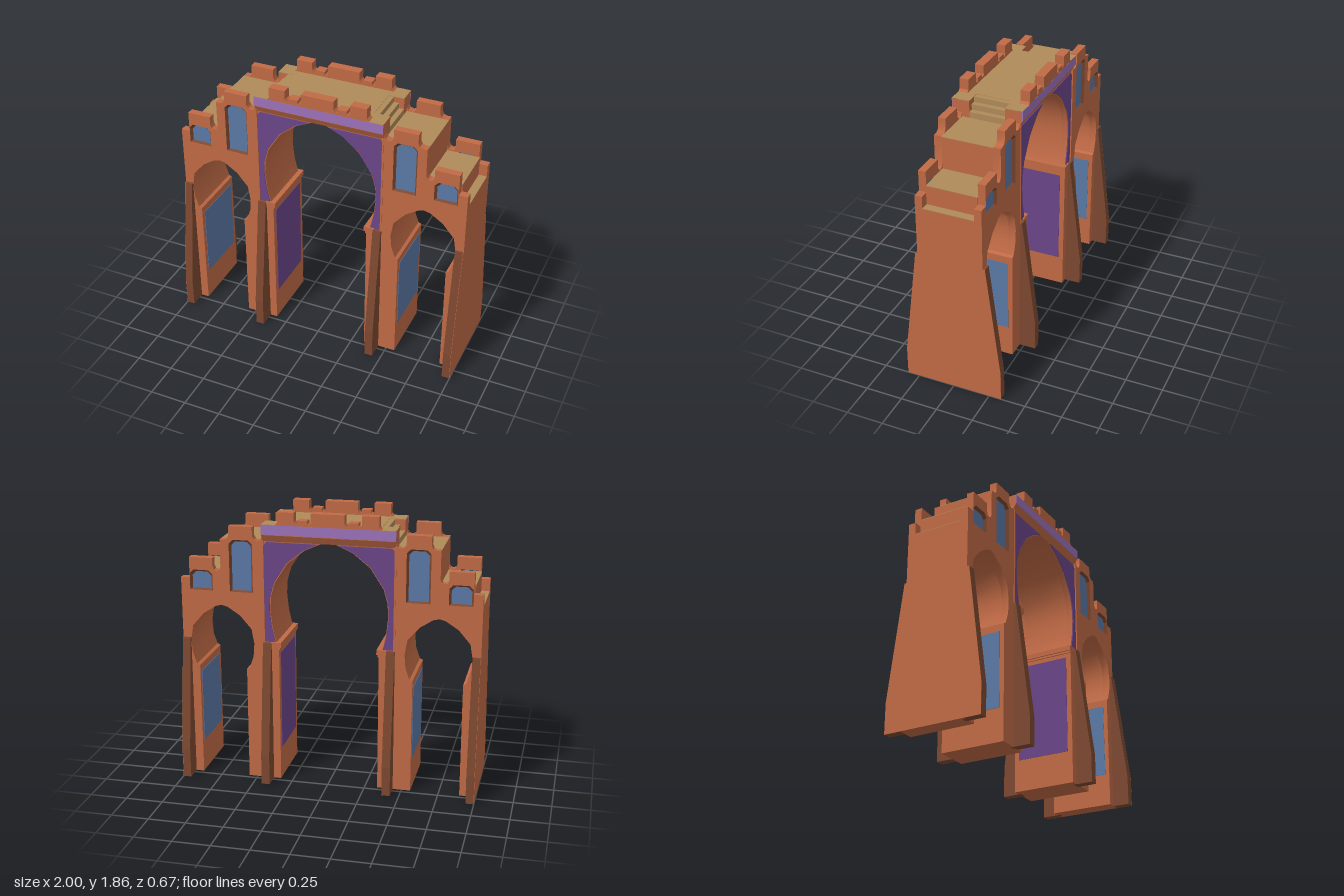
import * as THREE from 'three';
import { toCreasedNormals } from 'three/addons/utils/BufferGeometryUtils.js';

const mat = (name, color) => {
  const m = new THREE.MeshStandardMaterial({ color });
  m.name = name;
  return m;
};

export function createModel() {
  const clay = mat('terracotta', 0xc06a45);
  const brown = mat('brown', 0x7c4830);
  const tan = mat('sandstone', 0xb08a58);
  const blue = mat('blue', 0x5b78a5);
  const purple = mat('purple', 0x6a4588);
  const lilac = mat('lilac', 0x9c72ba);

  const model = new THREE.Group();
  model.name = 'archGate';

  const add = (parent, name, geo, material) => {
    const m = new THREE.Mesh(geo, material);
    m.name = name;
    parent.add(m);
    return m;
  };
  const flip = (pts, s) => pts.map(([x, y]) => new THREE.Vector2(x * s, y));
  // Outline in x/y, extruded from z0 to z1; s = -1 mirrors it
  const slab = (parent, name, pts, z0, z1, material, s = 1, holes = []) => {
    const shape = new THREE.Shape(flip(pts, s));
    holes.forEach(h => shape.holes.push(new THREE.Path(flip(h, s))));
    const geo = new THREE.ExtrudeGeometry(shape, { depth: z1 - z0, bevelEnabled: false });
    geo.translate(0, 0, z0);
    return add(parent, name, toCreasedNormals(geo, 0.6), material);
  };
  // Outline in z/y, extruded from x0 to x1
  const beam = (parent, name, pts, x0, x1, material) => {
    const geo = new THREE.ExtrudeGeometry(new THREE.Shape(flip(pts, -1)), { depth: x1 - x0, bevelEnabled: false });
    geo.rotateY(Math.PI / 2).translate(x0, 0, 0);
    return add(parent, name, geo, material);
  };
  // Box given by its limits; s mirrors x
  const box = (parent, name, [x0, x1], [y0, y1], [z0, z1], material, s = 1) => {
    const geo = new THREE.BoxGeometry(x1 - x0, y1 - y0, z1 - z0);
    geo.translate(s * (x0 + x1) / 2, (y0 + y1) / 2, (z0 + z1) / 2);
    return add(parent, name, geo, material);
  };

  const IN = 0.17, WALL = 0.22, MID = 0.21, LIP = 0.237;

  // Side arch, from its outer foot over the top to its inner foot
  const halfSide = [[0.165, 0], [0.165, 0.78], [0.185, 0.79], [0.213, 0.87], [0.22, 0.96],
    [0.203, 1.06], [0.125, 1.15], [0.04, 1.205]];
  const sideArch = [...halfSide.map(([x, y]) => [0.725 + x, y]), [0.725, 1.215],
    ...halfSide.map(([x, y]) => [0.725 - x, y]).reverse()];

  // Wide middle arch
  const halfMid = [[0.345, 0.96], [0.362, 1.0], [0.381, 1.09], [0.392, 1.2], [0.387, 1.29], [0.36, 1.385],
    [0.272, 1.52], [0.16, 1.61], [0.04, 1.665]];
  const midArch = [...halfMid, [0, 1.672], ...halfMid.map(([x, y]) => [-x, y]).reverse()];

  // Stepped battlement and plain stepped core of a wing
  const wingFace = [[0.44, 0], [0.44, 1.69], [0.45, 1.668], [0.472, 1.66], [0.492, 1.668], [0.505, 1.69],
    [0.505, 1.75], [0.665, 1.75], [0.665, 1.69], [0.675, 1.668], [0.695, 1.66], [0.725, 1.66],
    [0.725, 1.475], [0.735, 1.452], [0.752, 1.445], [0.77, 1.452], [0.78, 1.475], [0.78, 1.53],
    [0.94, 1.53], [0.94, 1.39], [1, 1.39], [1, 0], ...sideArch];
  const wingCore = [[0.44, 0], [0.44, 1.656], [0.725, 1.656], [0.725, 1.436], [0.945, 1.436],
    [0.945, 1.306], [1, 1.306], [1, 0], ...sideArch];

  // Window outline with cut upper corners, inset by d
  const windowPts = ([x0, x1, y0, y1], d) => {
    const c = 0.026;
    return [[x0 + d, y0 + d * 0.6], [x1 - d, y0 + d * 0.6], [x1 - d, y1 - d - c],
      [x1 - d - c, y1 - d], [x0 + d + c, y1 - d], [x0 + d, y1 - d - c]];
  };
  const windows = [[0.507, 0.664, 1.31, 1.66], [0.782, 0.938, 1.31, 1.445]];

  const addWindow = (parent, limits, s) => {
    const outer = flip(windowPts(limits, 0), s), inner = flip(windowPts(limits, 0.014), s);
    if (s < 0) { outer.reverse(); inner.reverse(); }
    const pos = [];
    outer.forEach((a, i) => {
      const j = (i + 1) % outer.length, b = outer[j], c = inner[j], d = inner[i];
      for (const [p, z] of [[a, WALL], [b, WALL], [c, WALL - 0.02], [a, WALL], [c, WALL - 0.02], [d, WALL - 0.02]]) {
        pos.push(p.x, p.y, z);
      }
    });
    const geo = new THREE.BufferGeometry();
    geo.setAttribute('position', new THREE.Float32BufferAttribute(pos, 3));
    geo.computeVertexNormals();
    add(parent, 'windowFrame', geo, brown);
    slab(parent, 'windowPane', windowPts(limits, 0.01), WALL - 0.026, WALL - 0.019, blue, s);
  };

  // Front and back facades share one design
  const buttress = [[0.2, 0], [0.333, 0], [0.333, 0.2], [0.235, 0.975], [0.2, 0.975]];
  for (const turn of [0, Math.PI]) {
    const f = new THREE.Group();
    f.name = turn ? 'backFacade' : 'frontFacade';
    f.rotation.y = turn;
    model.add(f);

    for (const s of [1, -1]) {
      slab(f, 'wingWall', wingFace, IN, WALL, clay, s, windows.map(w => windowPts(w, 0)));
      windows.forEach(w => addWindow(f, w, s));
      for (const [x0, x1] of [[0.385, 0.441], [0.945, 0.998]]) {
        beam(f, 'buttress', buttress, s > 0 ? x0 : -x1, s > 0 ? x1 : -x0, brown);
      }
      beam(f, 'endFace', buttress, s > 0 ? 0.998 : -1, s > 0 ? 1 : -0.998, clay);

      // Purple spandrel beside the middle arch, with a raised edge
      const curve = halfMid.slice(1).map(([x, y]) => [x + 0.005, y + 0.003]).filter(p => p[1] < 1.65);
      slab(f, 'spandrel', [[0.43, 0.98], [0.43, 1.635], [0.41, 1.656], [0.07, 1.656], ...curve.reverse(), [0.36, 0.98]],
        MID, MID + 0.006, purple, s);
      box(f, 'spandrelEdge', [0.43, 0.442], [0.975, 1.67], [MID - 0.02, WALL + 0.004], clay, s);
    }

    // Middle wall, cornice and coloured band
    slab(f, 'middleWall', [[0.44, 0.96], [0.44, 1.77], [-0.44, 1.77], [-0.44, 0.96], ...midArch.slice().reverse()],
      IN, MID, clay);
    beam(f, 'cornice', [[0.2, 1.675], [MID, 1.66], [LIP - 0.003, 1.705], [LIP - 0.003, 1.775], [0.2, 1.775]], -0.44, 0.44, clay);
    box(f, 'corniceBand', [-0.441, 0.441], [1.71, 1.774], [LIP - 0.004, LIP + 0.001], lilac);

    // Middle battlement
    const half = [[0.11, 1.86], [0.11, 1.8], [0.122, 1.785], [0.133, 1.79], [0.135, 1.812], [0.198, 1.812],
      [0.198, 1.79], [0.208, 1.785], [0.222, 1.8], [0.222, 1.86], [0.332, 1.86], [0.332, 1.79], [0.348, 1.774]];
    slab(f, 'battlement', [...half.map(([x, y]) => [-x, y]).reverse(), ...half], 0.175, LIP, clay);
  }

  // Core of the middle block
  slab(model, 'middleCore', [[0.44, 0.96], [0.44, 1.656], [0.335, 1.656], [0.335, 1.771], [-0.335, 1.771],
    [-0.335, 1.656], [-0.44, 1.656], [-0.44, 0.96], ...midArch.slice().reverse()], -IN, IN, clay);
  box(model, 'middleRoof', [-0.335, 0.335], [1.771, 1.776], [-0.19, 0.19], tan);

  for (const s of [1, -1]) {
    slab(model, 'wingCore', wingCore, -IN, IN, clay, s);
    for (const [x0, x1, y] of [[0.44, 0.725, 1.66], [0.725, 0.945, 1.44], [0.945, 1, 1.31]]) {
      box(model, 'wingRoof', [x0, x1], [y - 0.005, y], [-IN, IN], tan, s);
    }
    // Inner pier with its capital
    box(model, 'pier', [0.335, 0.44], [0, 0.97], [-WALL, WALL], clay, s);
    box(model, 'capital', [0.32, 0.39], [0.945, 0.98], [-WALL - 0.006, WALL + 0.006], clay, s);
    box(model, 'capitalStep', [0.328, 0.386], [0.93, 0.945], [-WALL - 0.003, WALL + 0.003], clay, s);

    // Steps from the wing roof up to the middle roof
    [1.773, 1.737, 1.7].forEach((y, i) => {
      const x = 0.335 + i * 0.035;
      box(model, 'roofStep', [x, x + 0.035], [1.65, y], [-0.12, 0.12], tan, s);
    });
    for (const z of [-1, 1]) {
      const cheek = z > 0 ? [0.12, IN] : [-IN, -0.12];
      const cap = z > 0 ? [0.12, LIP] : [-LIP, -0.12];
      box(model, 'stepCheek', [0.335, 0.44], [1.65, 1.771], cheek, clay, s);
      box(model, 'stepCheekTop', [0.335, 0.44], [1.771, 1.776], cap, tan, s);
    }

    // Coloured panels inside the passages
    box(model, 'middlePassagePanel', [0.332, 0.337], [0.22, 0.9], [-0.185, 0.185], purple, s);
    box(model, 'sidePassagePanel', [0.558, 0.563], [0.22, 0.73], [-0.19, 0.19], blue, s);
    box(model, 'sidePassagePanel', [0.887, 0.892], [0.22, 0.73], [-0.19, 0.19], blue, s);
  }
  return model;
}
